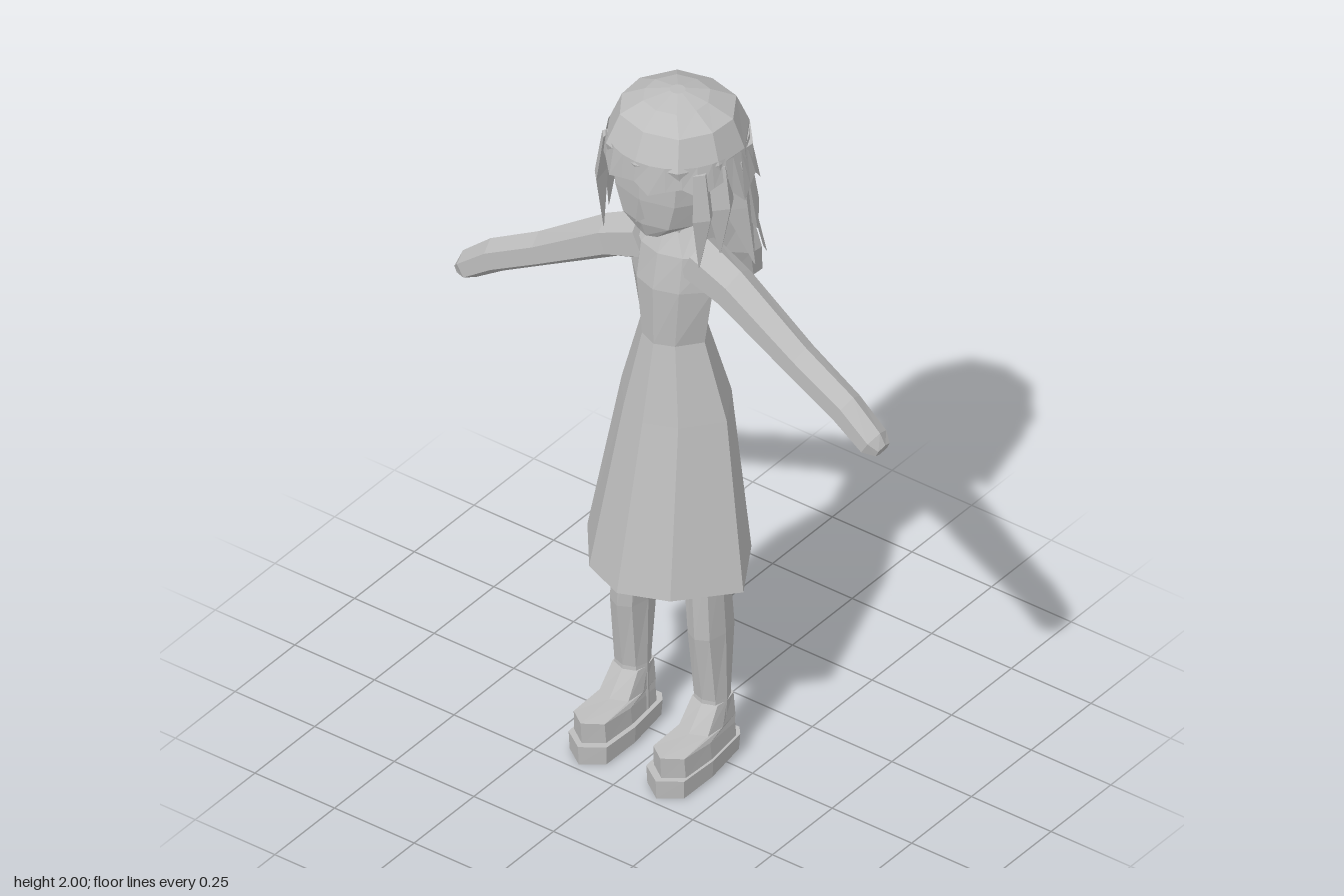
import * as THREE from 'three';

const grey = new THREE.MeshStandardMaterial({ color: 0xbdbdbd, side: THREE.DoubleSide });
grey.name = 'plain grey';

// Faceted skin through a list of rings; rings run counter-clockwise seen from the last ring.
function loft(name, rings, { closed = true, start = true, end = true } = {}) {
  const pos = [];
  const tri = (a, b, c) => pos.push(...a, ...b, ...c);
  const n = rings[0].length;
  for (let i = 0; i < rings.length - 1; i++) {
    for (let j = 0; j < (closed ? n : n - 1); j++) {
      const k = (j + 1) % n;
      const a = rings[i][j], b = rings[i][k], c = rings[i + 1][k], d = rings[i + 1][j];
      tri(a, b, c);
      tri(a, c, d);
    }
  }
  const cap = (ring, flip) => {
    const m = [0, 1, 2].map(q => ring.reduce((s, p) => s + p[q], 0) / n);
    ring.forEach((p, j) => {
      const r = ring[(j + 1) % n];
      if (flip) tri(m, r, p); else tri(m, p, r);
    });
  };
  if (closed && start) cap(rings[0], true);
  if (closed && end) cap(rings[rings.length - 1], false);
  const g = new THREE.BufferGeometry();
  g.setAttribute('position', new THREE.Float32BufferAttribute(pos, 3));
  g.computeVertexNormals();
  const mesh = new THREE.Mesh(g, grey);
  mesh.name = name;
  return mesh;
}

const mirror = (rings, s) => s > 0 ? rings
  : rings.map(r => r.map(([x, y, z]) => [-x, y, z]).reverse());

// Unit half outlines (x, z) from front to back
const BODY = [[0, 1], [0.52, 0.74], [1, 0.02], [0.55, -0.85], [0, -1]];
const HEAD = [[0, 1], [0.62, 0.82], [0.95, 0.3], [0.98, -0.25], [0.62, -0.84], [0, -1]];
const SOLE = [[0, 1], [0.9, 0.74], [1, 0], [0.8, -0.85], [0.5, -1], [0, -1]];
const LEG = [[0, 1], [0.75, 0.75], [1, 0], [0.7, -0.75], [0, -1]];

// Level section: front at zf, back at zb, optionally tilted along z
function section(half, y, rx, zf, zb, cx = 0, tilt = 0) {
  const all = [...half, ...half.slice(1, -1).reverse().map(([x, z]) => [-x, z])];
  const mid = (zf + zb) / 2, rz = (zf - zb) / 2;
  return all.map(([x, z]) => [cx + x * rx, y + tilt * (mid + z * rz), mid + z * rz]);
}

// Open band of hair around the head with a pointed lower edge
function hairBand(name, from, to, steps, low, high, dip) {
  const at = (t, [y, rx, zf, zb], drop, out) => {
    const a = THREE.MathUtils.degToRad(from + (to - from) * t), c = Math.cos(a);
    const mid = (zf + zb) / 2, rz = (zf - zb) / 2;
    return [Math.sin(a) * rx * out, y - drop, mid + c * rz * out];
  };
  const lower = [], upper = [];
  for (let i = 0; i <= steps; i++) {
    const tip = i % 3 === 1;
    lower.push(at(i / steps, low, tip ? dip : (i % 3) * dip * 0.2, tip ? 1.04 : 1));
    upper.push(at(i / steps, high, 0, 1));
  }
  return loft(name, [lower, upper], { closed: false });
}

// Tapering three-sided lock of hair from a root to a tip
function lock(name, pts, width, s) {
  const rings = pts.map(([x, y, z], i) => {
    const w = width * [0.7, 1, 0.05][i];
    return [[x + w * 0.5, y, z], [x, y, z - w], [x - w * 0.4, y, z + w]];
  }).reverse();
  return loft(name, mirror(rings, s));
}

export function createModel() {
  const model = new THREE.Group();
  model.name = 'girlInDress';

  // Dress: bodice and open skirt
  model.add(loft('dress', [
    section(BODY, 0.575, 0.245, 0.235, -0.18, 0, 0.045),
    section(BODY, 1.05, 0.165, 0.128, -0.145),
    section(BODY, 1.27, 0.1, 0.082, -0.085),
    section(BODY, 1.44, 0.128, 0.085, -0.08),
    section(BODY, 1.54, 0.125, 0.065, -0.075),
    section(BODY, 1.6, 0.06, 0.035, -0.055),
  ], { start: false }));

  // Neck
  model.add(loft('neck', [
    section(LEG, 1.57, 0.05, 0.035, -0.055),
    section(LEG, 1.69, 0.042, 0.035, -0.055),
  ]));

  // Face with a pointed chin
  model.add(loft('face', [
    section(HEAD, 1.625, 0.045, 0.115, -0.01),
    section(HEAD, 1.67, 0.115, 0.132, -0.07),
    section(HEAD, 1.75, 0.15, 0.142, -0.12),
    section(HEAD, 1.86, 0.165, 0.145, -0.15),
  ]));
  model.add(loft('nose', [
    [[-0.013, 1.69, 0.125], [0, 1.69, 0.157], [0.013, 1.69, 0.125]].reverse(),
    [[-0.004, 1.76, 0.13], [0, 1.76, 0.142], [0.004, 1.76, 0.13]].reverse(),
  ]));

  // Hair crown
  model.add(loft('hairCrown', [
    section(HEAD, 1.83, 0.183, 0.15, -0.2),
    section(HEAD, 1.87, 0.182, 0.163, -0.198),
    section(HEAD, 1.95, 0.15, 0.125, -0.165),
    section(HEAD, 1.985, 0.085, 0.07, -0.1),
    section(HEAD, 2.0, 0.02, 0.0, -0.04),
  ]));

  // Hair falling behind the neck
  model.add(loft('backHair', [
    section(HEAD, 1.415, 0.165, -0.09, -0.2, 0, -0.12),
    section(HEAD, 1.52, 0.18, -0.05, -0.19),
    section(HEAD, 1.62, 0.165, -0.01, -0.185),
    section(HEAD, 1.74, 0.172, 0.03, -0.19),
    section(HEAD, 1.86, 0.178, 0.05, -0.195),
  ]));

  // Layers of pointed curls and the fringe
  model.add(hairBand('upperCurls', 75, 285, 18, [1.775, 0.195, 0.13, -0.215], [1.87, 0.179, 0.15, -0.198], 0.04));
  model.add(hairBand('middleCurls', 85, 275, 15, [1.655, 0.19, 0.06, -0.21], [1.78, 0.176, 0.06, -0.19], 0.045));
  model.add(hairBand('lowerCurls', 100, 260, 12, [1.54, 0.195, 0, -0.207], [1.67, 0.172, 0.02, -0.187], 0.035));
  model.add(hairBand('fringe', -80, 80, 12, [1.82, 0.187, 0.163, -0.19], [1.88, 0.178, 0.16, -0.195], 0.025));

  for (const s of [1, -1]) {
    const side = s > 0 ? 'left' : 'right';

    // Locks framing the face
    model.add(lock(side + 'FrontLock', [[0.15, 1.86, 0.08], [0.165, 1.73, 0.085], [0.15, 1.575, 0.09]], 0.034, s));
    model.add(lock(side + 'SideLock', [[0.165, 1.86, 0.02], [0.178, 1.74, 0.025], [0.175, 1.6, 0.035]], 0.042, s));
    model.add(lock(side + 'RearLock', [[0.17, 1.84, -0.04], [0.175, 1.7, -0.05], [0.205, 1.52, -0.07]], 0.045, s));

    // Arm and hand: x, top, bottom, lean of the section, front z, back z
    const arm = [
      [0.075, 1.59, 1.46, 0.03, 0.05, -0.06],
      [0.19, 1.535, 1.42, 0.02, 0.047, -0.055],
      [0.4, 1.39, 1.305, 0.02, 0.045, -0.043],
      [0.55, 1.305, 1.222, 0.02, 0.045, -0.036],
      [0.635, 1.232, 1.166, 0.02, 0.045, -0.033],
      [0.662, 1.2, 1.166, 0.008, 0.028, -0.02],
    ].map(([x, top, bottom, lean, zf, zb]) => {
      const ring = [];
      for (let i = 0; i < 6; i++) {
        const a = i * Math.PI / 3, c = Math.cos(a);
        ring.push([x + lean * c, (top + bottom) / 2 + c * (top - bottom) / 2,
          (zf + zb) / 2 + Math.sin(a) / 0.866 * (zf - zb) / 2]);
      }
      return ring;
    });
    model.add(loft(side + 'Arm', mirror(arm, s)));

    // Leg
    model.add(loft(side + 'Leg', mirror([
      section(LEG, 0.06, 0.048, 0.06, -0.055, 0.122),
      section(LEG, 0.2, 0.045, 0.045, -0.045, 0.125),
      section(LEG, 0.4, 0.046, 0.073, -0.07, 0.122),
      section(LEG, 0.62, 0.05, 0.072, -0.055, 0.11),
    ], s)));

    // Shoe: upper, instep and thick sole
    model.add(loft(side + 'ShoeUpper', mirror([
      section(SOLE, 0.05, 0.056, 0.215, -0.06, 0.125),
      section(SOLE, 0.105, 0.054, 0.22, -0.056, 0.125, 0.06),
      section(SOLE, 0.125, 0.05, 0.1, -0.053, 0.125),
      section(SOLE, 0.19, 0.044, 0.045, -0.047, 0.125),
    ], s)));
    model.add(loft(side + 'ShoeSole', mirror([
      section(SOLE, 0.014, 0.064, 0.232, -0.068, 0.122, -0.06),
      section(SOLE, 0.06, 0.066, 0.235, -0.072, 0.122, -0.02),
    ], s)));
  }
  return model;
}
